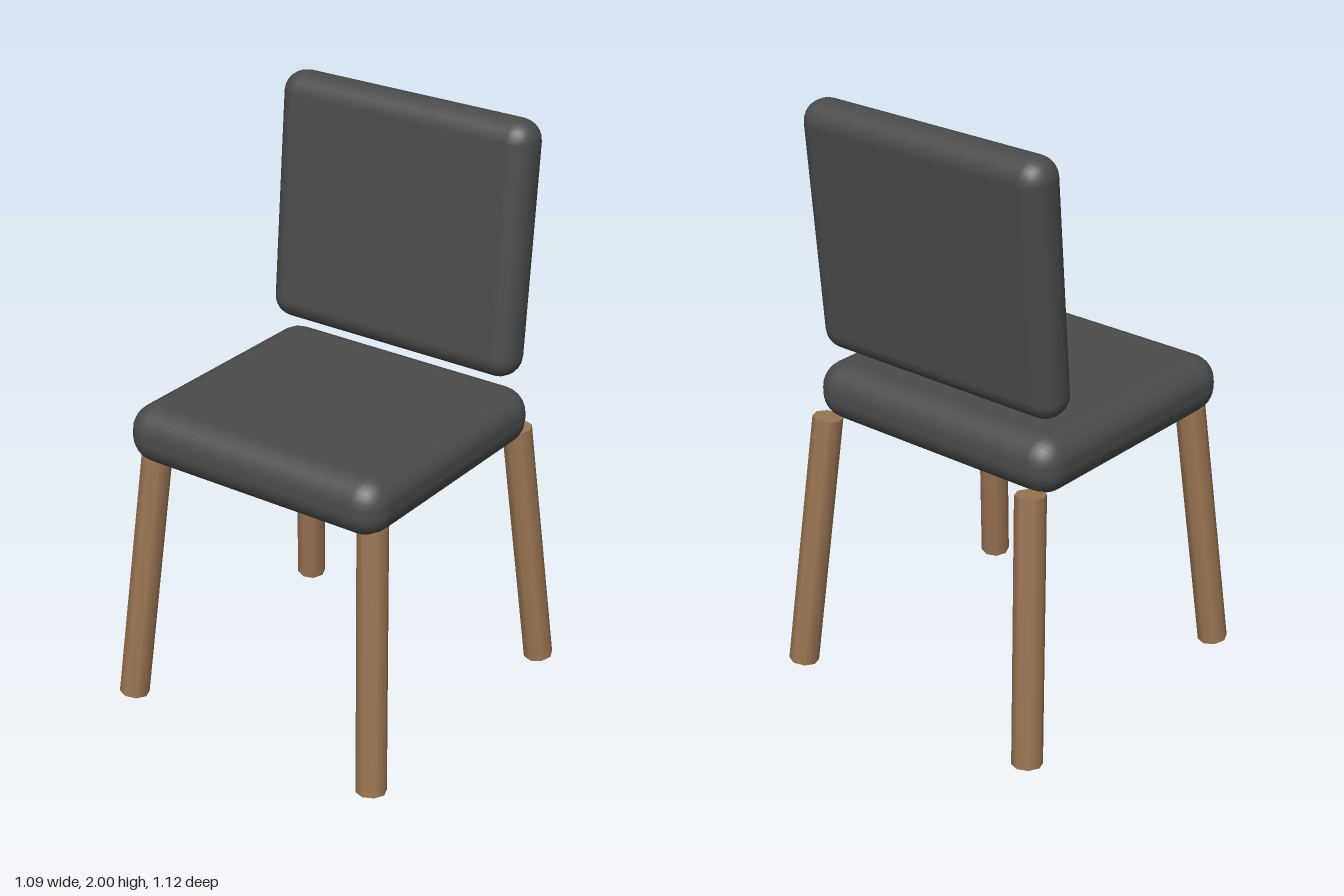
import * as THREE from 'three';
import { RoundedBoxGeometry } from 'three/addons/geometries/RoundedBoxGeometry.js';

export function createModel() {
  const chair = new THREE.Group();
  chair.name = 'chair';
  const fabric = new THREE.MeshStandardMaterial({ color: 0x4a4b4c });
  const wood = new THREE.MeshStandardMaterial({ color: 0x9b7653 });

  function cushion(name, w, h, d, radius, position) {
    const mesh = new THREE.Mesh(new RoundedBoxGeometry(w, h, d, 3, radius), fabric);
    mesh.name = name;
    mesh.position.set(...position);
    chair.add(mesh);
    return mesh;
  }

  // Padded seat, and a back panel leaning 5 degrees
  cushion('seat', 1, 0.2, 0.925, 0.09, [0, 0.99, 0.047]);
  const back = cushion('backrest', 0.97, 0.86, 0.15, 0.072, [0, 1.57, -0.355]);
  back.rotation.x = THREE.MathUtils.degToRad(-5);

  // Four splayed round legs, cut square to their own axis
  const up = new THREE.Vector3(0, 1, 0);
  for (const sx of [1, -1]) {
    for (const sz of [1, -1]) {
      const foot = new THREE.Vector3(sx * 0.496, 0.008, sz * 0.508);
      const top = new THREE.Vector3(sx * 0.43, 0.915, sz * 0.416);
      const axis = top.clone().sub(foot);
      const leg = new THREE.Mesh(new THREE.CylinderGeometry(0.051, 0.051, axis.length(), 8), wood);
      leg.name = (sz > 0 ? 'front' : 'back') + (sx > 0 ? 'Left' : 'Right') + 'Leg';
      leg.position.copy(foot).add(top).multiplyScalar(0.5);
      leg.quaternion.setFromUnitVectors(up, axis.normalize());
      chair.add(leg);
    }
  }
  return chair;
}
